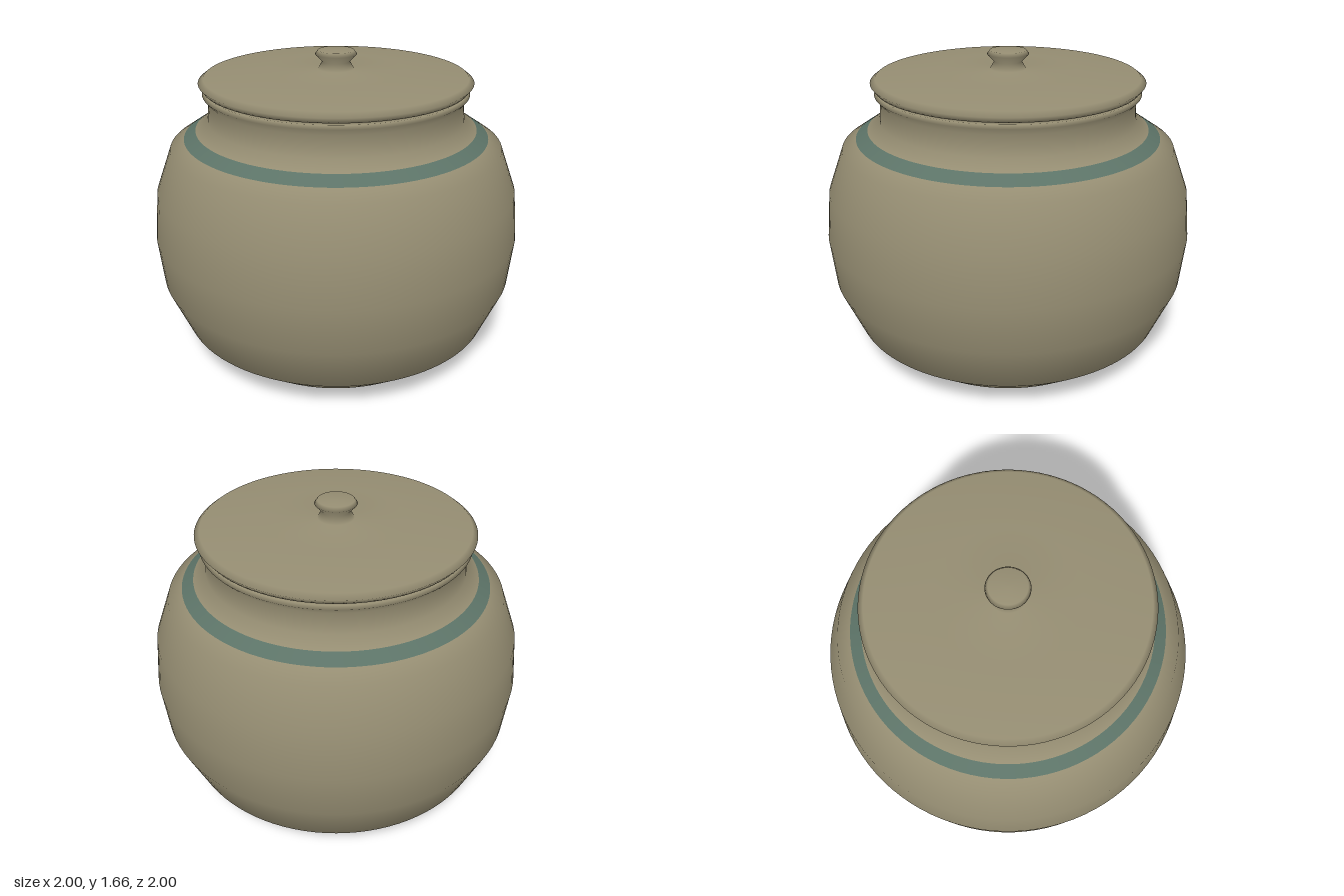
import * as THREE from 'three';

const SEGMENTS = 96;

const glaze = new THREE.MeshStandardMaterial({ color: 0x958d72 });
glaze.name = 'stoneGlaze';
const teal = new THREE.MeshStandardMaterial({ color: 0x5c7367 });
teal.name = 'tealBand';
const clay = new THREE.MeshStandardMaterial({ color: 0x7d5a45 });
clay.name = 'bareClay';

const lathe = (profile) =>
  new THREE.LatheGeometry(profile.map(([r, y]) => new THREE.Vector2(r, y)), SEGMENTS);

function addMesh(parent, name, geometry, material) {
  const mesh = new THREE.Mesh(geometry, material);
  mesh.name = name;
  parent.add(mesh);
}

// Takes some profile rows of a lathe, keeping its smooth normals
function rows(source, profileLength, from, to) {
  const perSegment = profileLength - 1;
  const index = [];
  for (let i = 0; i < SEGMENTS; i++) {
    for (let k = (i * perSegment + from) * 6; k < (i * perSegment + to) * 6; k++) {
      index.push(source.index.getX(k));
    }
  }
  const part = source.clone();
  part.setIndex(index);
  return part;
}

export function createModel() {
  const model = new THREE.Group();
  model.name = 'lidded jar';

  // Jar: recessed foot, belly, shoulder band, neck, rim and hollow inside
  const jar = new THREE.Group();
  jar.name = 'jar';
  const profile = [
    [0, 0.09], [0.44, 0.07], [0.53, 0.005], [0.59, 0], [0.67, 0.015],
    [0.865, 0.17], [0.975, 0.43], [1, 0.68], [0.975, 0.93], [0.89, 1.16],
    [0.815, 1.21], [0.752, 1.252], [0.685, 1.3], [0.675, 1.41],
    [0.705, 1.445], [0.695, 1.465], [0.65, 1.465], [0.635, 1.4],
    [0.64, 1.3], [0.83, 1.1], [0.93, 0.68], [0.82, 0.25], [0.6, 0.13], [0, 0.13],
  ];
  const n = profile.length;
  const whole = lathe(profile);
  addMesh(jar, 'foot', rows(whole, n, 0, 4), clay);
  addMesh(jar, 'belly', rows(whole, n, 4, 10), glaze);
  addMesh(jar, 'shoulderBand', rows(whole, n, 10, 11), teal);
  addMesh(jar, 'neckAndInside', rows(whole, n, 11, n - 1), glaze);
  model.add(jar);

  // Lid: inner plug, thin flared disc and knob in one turned piece
  addMesh(model, 'lidWithKnob', lathe([
    [0, 1.41], [0.6, 1.41], [0.625, 1.475], [0.7, 1.475], [0.723, 1.505],
    [0.695, 1.527], [0.36, 1.553], [0.095, 1.557], [0.073, 1.595],
    [0.11, 1.635], [0.095, 1.655], [0, 1.657],
  ]), glaze);

  return model;
}
